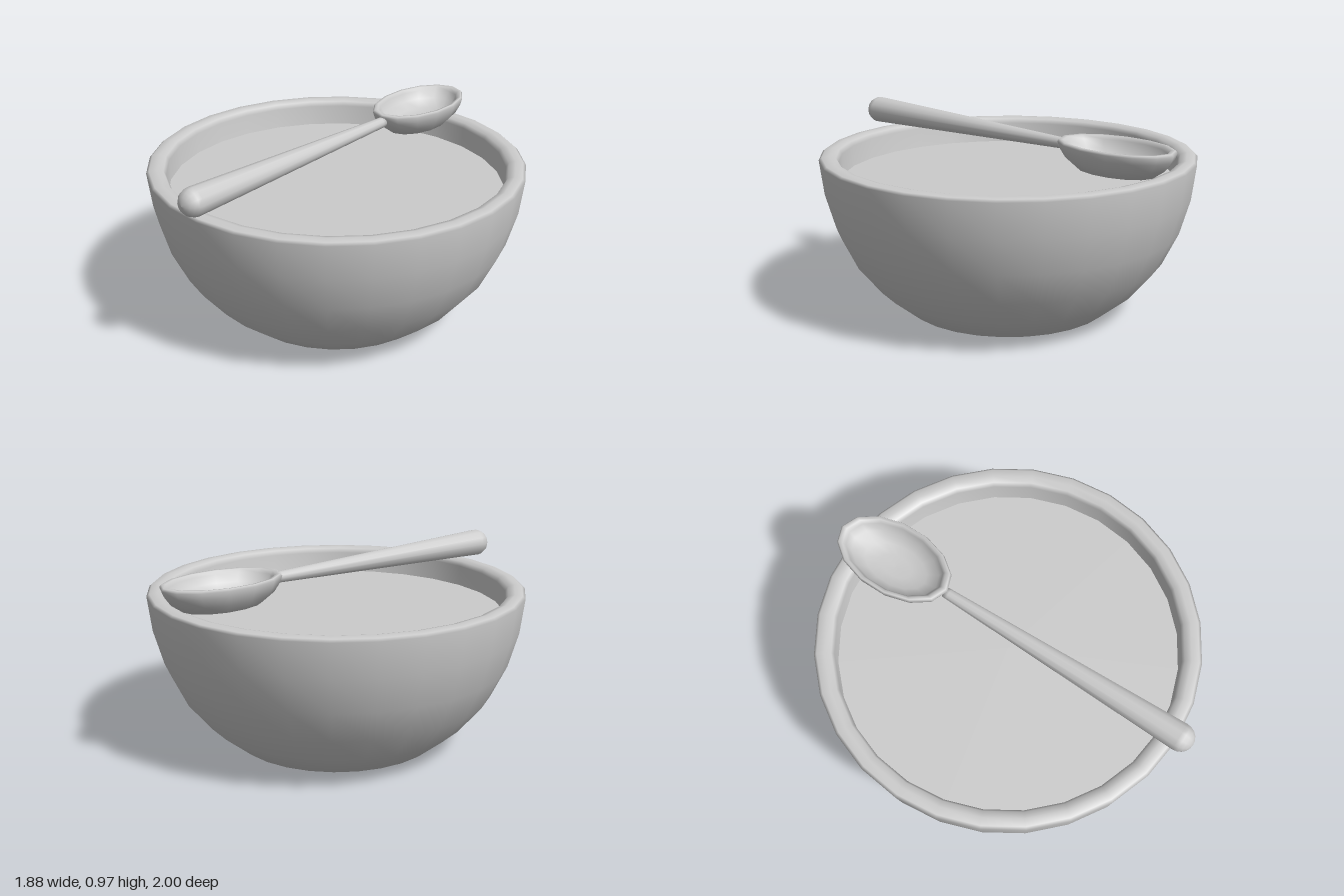
import * as THREE from 'three';

const material = new THREE.MeshStandardMaterial({ color: 0xcccccc });

// Smooth turned shape from [radius, height] pairs
function turned(name, profile, sides) {
  const points = profile.map(([r, y]) => new THREE.Vector2(r, y));
  const mesh = new THREE.Mesh(new THREE.LatheGeometry(points, sides), material);
  mesh.name = name;
  return mesh;
}

export function createModel() {
  const model = new THREE.Group();
  model.name = 'bowlWithSpoon';

  // Bowl wall: outside from base to rim, then down the inside
  const bowl = turned('bowl', [
    [0, 0], [0.34, 0.005], [0.525, 0.022], [0.67, 0.14], [0.79, 0.285],
    [0.87, 0.45], [0.92, 0.625], [0.942, 0.8], [0.928, 0.812], [0.89, 0.817],
    [0.858, 0.808], [0.845, 0.785], [0.842, 0.68], [0.8, 0.5], [0.7, 0.3],
    [0.5, 0.12], [0, 0.08],
  ], 28);
  bowl.position.z = -0.02;
  model.add(bowl);

  // Flat surface of the contents
  const contents = new THREE.Mesh(new THREE.CircleGeometry(0.845, 28), material);
  contents.name = 'contents';
  contents.rotation.x = -Math.PI / 2;
  contents.position.set(0, 0.68, -0.02);
  model.add(contents);

  const spoon = new THREE.Group();
  spoon.name = 'spoon';
  model.add(spoon);

  // Oval spoon bowl: a unit-radius dish stretched along z
  const scoop = turned('spoonBowl', [
    [0, 0.81], [0.45, 0.811], [0.66, 0.815], [0.86, 0.858], [0.96, 0.9],
    [1, 0.932], [0.97, 0.943], [0.9, 0.942], [0.85, 0.925], [0.77, 0.885],
    [0.55, 0.85], [0.28, 0.84], [0, 0.838],
  ], 14);
  scoop.geometry.scale(0.186, 1, 0.315);
  scoop.position.z = -0.685;
  spoon.add(scoop);

  // Tapered handle with a rounded end
  const profile = [[0, -0.39], [0.027, -0.385], [0.028, -0.36]];
  for (let i = 0; i <= 5; i++) {
    const a = (i / 5) * Math.PI / 2;
    profile.push([0.07 * Math.cos(a), 0.93 + 0.07 * Math.sin(a)]);
  }
  profile[profile.length - 1][0] = 0;
  const handle = turned('spoonHandle', profile, 12);
  handle.rotation.x = Math.PI / 2;
  handle.position.y = 0.904;
  spoon.add(handle);

  return model;
}
